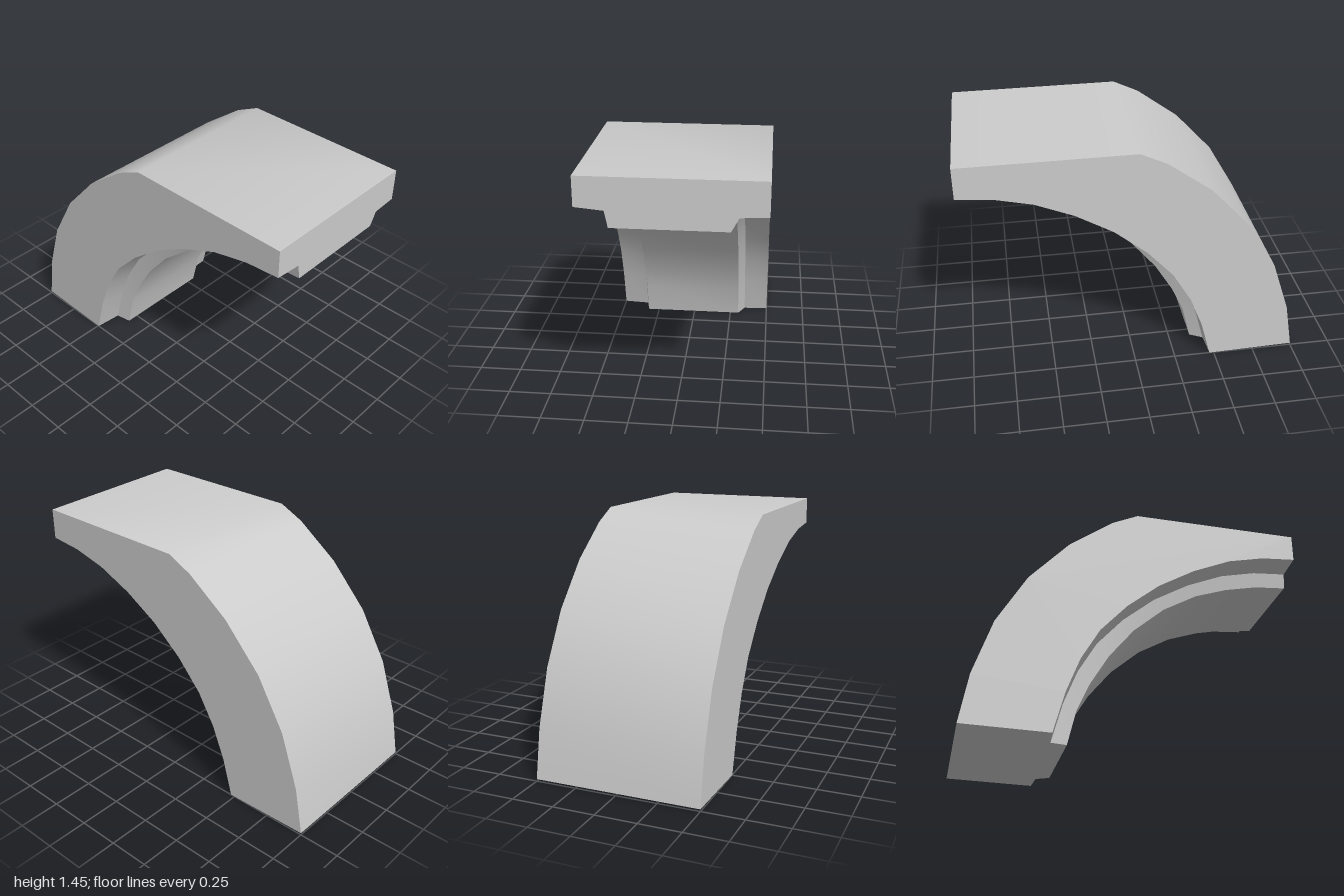
import * as THREE from 'three';
import { toCreasedNormals } from 'three/addons/utils/BufferGeometryUtils.js';

// Profiles in the x-y plane, from the foot to the crown
const OUTER = [[-1, 0.015], [-0.95, 0.305], [-0.84, 0.635], [-0.665, 0.935], [-0.43, 1.19],
  [-0.17, 1.38], [-0.015, 1.453], [0.995, 1.447]];
const RIM = [[-0.495, 0.003], [-0.43, 0.245], [-0.35, 0.455], [-0.24, 0.645], [-0.08, 0.82],
  [0.115, 0.98], [0.335, 1.11], [0.565, 1.21], [0.785, 1.262], [0.995, 1.28]];
const BAND = [[-0.385, 0.003], [-0.335, 0.215], [-0.26, 0.385], [-0.15, 0.57], [0, 0.755],
  [0.19, 0.92], [0.4, 1.04], [0.6, 1.11], [0.8, 1.155], [0.995, 1.172]];

// Underside cross-section, front to back: [z, blend from rim to raised band]
const STEPS = [[0.5, 0], [0.34, 0.14], [0.322, 1], [-0.305, 1], [-0.347, 0.28], [-0.5, 0.2]];

const at = (profile, z) => profile.map(([x, y]) => new THREE.Vector3(x, y, z));

function createGeometry() {
  const verts = [];
  const tri = (a, b, c) => { for (const p of [a, b, c]) verts.push(p.x, p.y, p.z); };

  // Strip of quads between two lines of equal length
  const strip = (a, b) => {
    for (let i = 0; i < a.length - 1; i++) {
      tri(a[i], b[i], b[i + 1]);
      tri(a[i], b[i + 1], a[i + 1]);
    }
  };

  // Flat polygon, turned to face the given direction
  const face = (points, u, v, facing) => {
    const flat = points.map((p) => new THREE.Vector2(p[u], p[v]));
    for (const [i, j, k] of THREE.ShapeUtils.triangulateShape(flat, [])) {
      const [a, b, c] = [points[i], points[j], points[k]];
      const n = b.clone().sub(a).cross(c.clone().sub(a));
      if (n.dot(facing) > 0) tri(a, b, c); else tri(a, c, b);
    }
  };

  // Stepped underside
  const lines = STEPS.map(([z, t]) =>
    at(RIM, z).map((p, i) => p.lerp(new THREE.Vector3(...BAND[i], z), t)));
  for (let i = 0; i < lines.length - 1; i++) strip(lines[i + 1], lines[i]);

  // Outer surface
  const front = at(OUTER, 0.5), back = at(OUTER, -0.5);
  strip(front, back);
  // The strips wind the same way when the two lines are ordered oppositely
  // Sides
  face([...front, ...lines[0].slice().reverse()], 'x', 'y', new THREE.Vector3(0, 0, 1));
  face([...back, ...lines[5].slice().reverse()], 'x', 'y', new THREE.Vector3(0, 0, -1));

  // Foot and crown ends
  const end = (f, b, k) => [f, ...lines.map((l) => l[k]), b];
  face(end(front[0], back[0], 0), 'x', 'z', new THREE.Vector3(0, -1, 0));
  face(end(front.at(-1), back.at(-1), RIM.length - 1), 'z', 'y', new THREE.Vector3(1, 0, 0));

  // Orient the curved strips: normals checked by winding, front line to back line
  const geometry = new THREE.BufferGeometry();
  geometry.setAttribute('position', new THREE.Float32BufferAttribute(verts, 3));
  return toCreasedNormals(geometry, 0.5);
}

export function createModel() {
  const group = new THREE.Group();
  group.name = 'archSegment';
  const arch = new THREE.Mesh(createGeometry(),
    new THREE.MeshStandardMaterial({ color: 0xcccccc, side: THREE.DoubleSide }));
  arch.name = 'archBlock';
  group.add(arch);
  return group;
}
